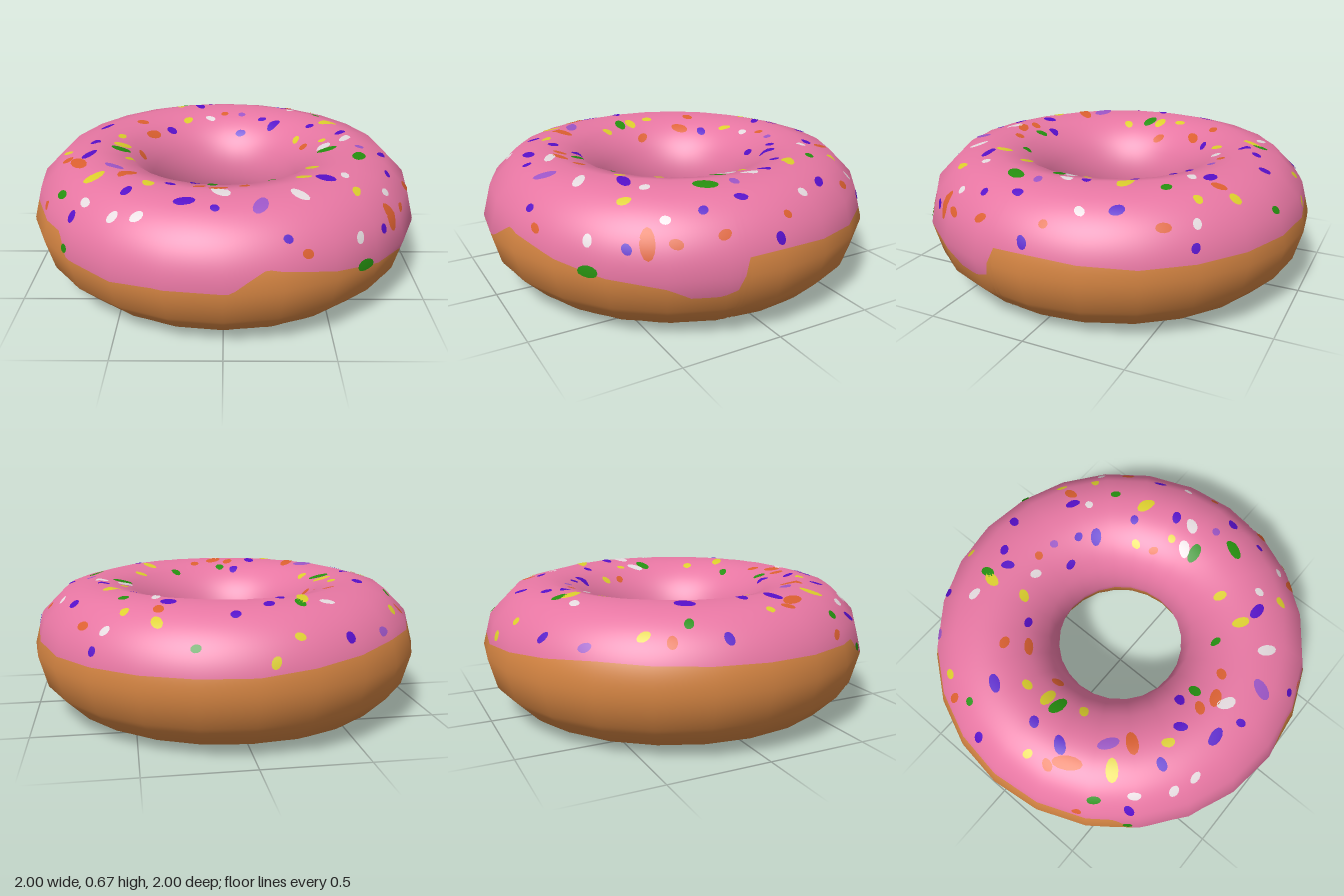
import * as THREE from 'three';
import { mergeGeometries } from 'three/addons/utils/BufferGeometryUtils.js';

const R = 0.667, r = 0.333, U = 24, V = 12, TAU = Math.PI * 2, DEG = Math.PI / 180;

const mat = (name, color) => {
  const m = new THREE.MeshStandardMaterial({ color });
  m.name = name;
  return m;
};

// Low-poly ring: positions and normals blended between a 24 x 12 grid of corners
const corner = (i, j, ring) => {
  const u = i * TAU / U, v = j * TAU / V, d = ring + r * Math.cos(v);
  return new THREE.Vector3(d * Math.cos(u), r * Math.sin(v), d * Math.sin(u));
};
function blend(u, v, ring) {
  const a = u * U / TAU, b = v * V / TAU, i = Math.floor(a), j = Math.floor(b);
  const p = corner(i, j, ring).lerp(corner(i + 1, j, ring), a - i);
  return p.lerp(corner(i, j + 1, ring).lerp(corner(i + 1, j + 1, ring), a - i), b - j);
}
function surface(u, v, lift = 0) {
  const normal = blend(u, v, 0).normalize();
  const point = blend(u, v, R).addScaledVector(normal, lift);
  point.y += r;
  return { point, normal };
}

function build(samples, index) {
  const g = new THREE.BufferGeometry();
  const flat = key => new THREE.Float32BufferAttribute(samples.flatMap(s => s[key].toArray()), 3);
  g.setAttribute('position', flat('point'));
  g.setAttribute('normal', flat('normal'));
  g.setIndex(index);
  return g;
}

// Band around the ring between two edges given as functions of u
function band(from, to, cols = 240, rows = 64) {
  const samples = [], index = [];
  for (let i = 0; i <= cols; i++) {
    const u = i / cols * TAU, a = from(u), b = to(u);
    for (let j = 0; j <= rows; j++) samples.push(surface(u, a + (b - a) * j / rows));
  }
  for (let i = 0; i < cols; i++) for (let j = 0; j < rows; j++) {
    const p = i * (rows + 1) + j, q = p + rows + 1;
    index.push(p, p + 1, q, q, p + 1, q + 1);
  }
  return build(samples, index);
}

// Outer icing edge: degrees around the ring (0 = +x, 90 = front), height
const drips = [
  [0, .42], [9, .41], [12, .26], [17, .235], [24, .235], [30, .29], [50, .34], [65, .385], [79, .43], [83, .39],
  [88, .335], [108, .335], [120, .315], [137, .34], [142, .43], [180, .445], [225, .46], [270, .4], [330, .39],
  [360, .42],
];
function outerEdge(u) {
  const d = u / DEG;
  const k = Math.max(1, drips.findIndex(p => p[0] >= d - 1e-6));
  const [a, ya] = drips[k - 1], [b, yb] = drips[k];
  const y = ya + (yb - ya) * (d - a) / (b - a);
  return Math.asin((y - r) / r);
}
const innerEdge = u => Math.PI + 0.25 + 0.04 * Math.sin(3 * u);

// Small oval draped on the surface: degrees around, degrees up, length, tilt
function sprinkle([around, up, length, tilt]) {
  const n = 12, rings = 3, width = Math.min(length, 0.028 + length * 0.28), lift = 0.003;
  const u = around * DEG, v = up * DEG, c = Math.cos(tilt * DEG), s = Math.sin(tilt * DEG);
  const samples = [surface(u, v, lift)], index = [];
  for (let k = 1; k <= rings; k++) for (let i = 0; i < n; i++) {
    const t = i / n * TAU, f = k / rings / 2;
    const a = Math.cos(t) * length * f, b = Math.sin(t) * width * f;
    samples.push(surface(u + (a * c - b * s) / (R + r * Math.cos(v)), v + (a * s + b * c) / r, lift));
  }
  for (let i = 0; i < n; i++) {
    const j = (i + 1) % n;
    index.push(0, 1 + j, 1 + i);
    for (let k = 0; k < rings - 1; k++) {
      const p = 1 + k * n, q = p + n;
      index.push(p + i, p + j, q + i, q + i, p + j, q + j);
    }
  }
  return build(samples, index);
}

// Large sprinkles are placed, the small ones are scattered
const sprinkles = [
  { name: 'violet', color: 0x560fc8, small: 22,
    large: [[305, 120, .1, -75], [103, 74, .1, -13], [47, 85, .1, 43], [201, 83, .1, 9], [164, 83, .1, 56],
      [299, 82, .08, 1], [257, 92, .07, 63]] },
  { name: 'orange', color: 0xdc6030, small: 14,
    large: [[35, 27, .15, 85], [159, 71, .15, -9], [300, 69, .08, 60], [135, 95, .12, -95], [214, 124, .1, 16],
      [92, 98, .1, -32]] },
  { name: 'yellow', color: 0xdccf2c, small: 14,
    large: [[181, 113, .1, 92], [332, 90, .11, -47], [248, 84, .1, -58], [143, 72, .12, 87], [52, 100, .09, -102]] },
  { name: 'green', color: 0x26900f, small: 6,
    large: [[6, 112, .11, 74], [174, 112, .11, -74], [17, 82, .12, 8], [50, 2, .1, 0], [138, 7, .05, 0],
      [251, 77, .08, -81]] },
  { name: 'white', color: 0xe4dade, small: 11,
    large: [[91, 88, .1, 29], [63, 75, .1, 67], [356, 93, .09, 44], [0, 115, .1, -131]] },
  { name: 'lilac', color: 0x9c55c6, small: 3, large: [[145, 94, .11, -20], [78, 69, .12, -58]] },
];

// Even scatter, clear of the spots already taken: golden-angle steps around, seeded height, length and tilt
function makeScatter(seed, spots) {
  const random = () => (seed = (seed * 16807) % 2147483647) / 2147483647;
  const place = ([u, v]) => surface(u * DEG, v * DEG).point;
  const taken = spots.map(place);
  let step = 0;
  return () => {
    let spot, point;
    do {
      spot = [(step++ * 137.508) % 360, 20 + 115 * random(), 0.045 + 0.03 * random(), 180 * random()];
      point = place(spot);
    } while (taken.some(p => p.distanceTo(point) < 0.085));
    taken.push(point);
    return spot;
  };
}

export function createModel() {
  const model = new THREE.Group();
  model.name = 'ringDoughnut';
  const add = (name, geometry, material) => {
    const mesh = new THREE.Mesh(geometry, material);
    mesh.name = name;
    model.add(mesh);
  };

  // Dough below, icing above, meeting along the wavy edges
  add('icing', band(outerEdge, innerEdge), mat('pinkIcing', 0xe676a2));
  add('dough', band(innerEdge, u => outerEdge(u) + TAU), mat('brownDough', 0xd48442));

  // Sprinkles, one mesh per colour
  const scatter = makeScatter(4217, sprinkles.flatMap(s => s.large));
  for (const { name, color, small, large } of sprinkles) {
    const spots = [...large, ...Array.from({ length: small }, scatter)];
    add(name + 'Sprinkles', mergeGeometries(spots.map(sprinkle)), mat(name + 'Sprinkle', color));
  }
  return model;
}
